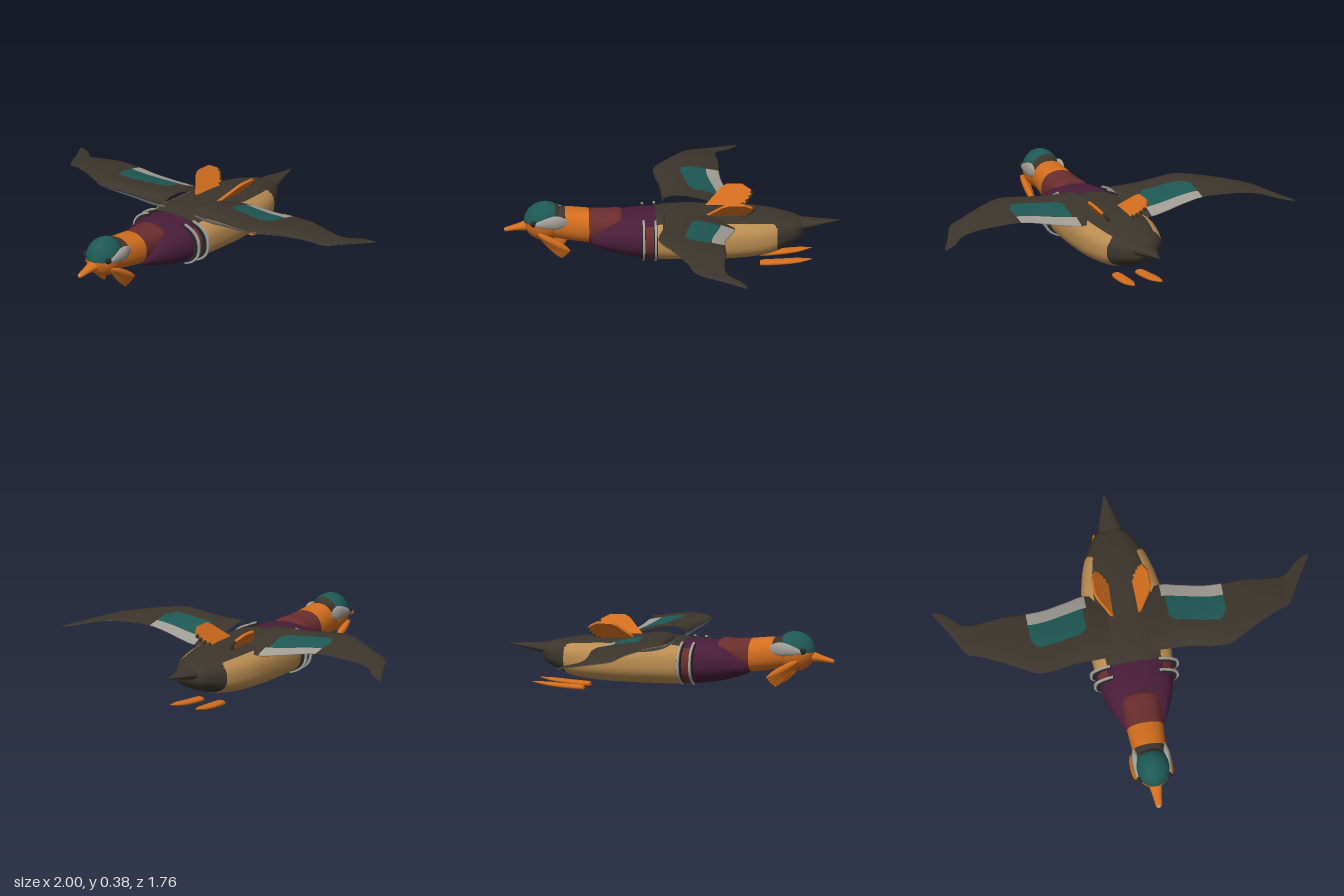
import * as THREE from 'three';
import { mergeVertices } from 'three/addons/utils/BufferGeometryUtils.js';

const mat = (name, color) => {
  const m = new THREE.MeshStandardMaterial({ color });
  m.name = name;
  return m;
};

// Smooth surface from a rule; pick(u, v) gives the material index of each cell
function grid(point, nu, nv, pick = () => 0) {
  const pos = [], cells = [];
  for (let i = 0; i <= nu; i++) for (let j = 0; j <= nv; j++) pos.push(...point(i / nu, j / nv));
  for (let i = 0; i < nu; i++) for (let j = 0; j < nv; j++) {
    const a = i * (nv + 1) + j, b = a + nv + 1;
    const k = pick((i + 0.5) / nu, (j + 0.5) / nv);
    (cells[k] ||= []).push(a, b, b + 1, a, b + 1, a + 1);
  }
  let g = new THREE.BufferGeometry();
  g.setAttribute('position', new THREE.Float32BufferAttribute(pos, 3));
  g.setIndex(cells.flat());
  let start = 0;
  cells.forEach((c, k) => { g.addGroup(start, c.length, k); start += c.length; });
  g = mergeVertices(g, 1e-5);
  g.computeVertexNormals();
  return g;
}

// Smooth interpolation through the rows of a small table
function table(rows) {
  const curves = rows[0].map((_, k) => new THREE.SplineCurve(rows.map((r, i) => new THREE.Vector2(i, r[k]))));
  return t => curves.map(c => c.getPoint(t).y);
}

const pw = (v, e) => Math.sign(v) * Math.abs(v) ** e;

// Loft along z, rows listed front to back: [z, halfWidth, bottom, top]
function loft(rows, { steps = 6, sides = 40, e = 1, pick } = {}) {
  const at = table(rows);
  return grid((u, v) => {
    const [z, w, lo, hi] = at(u), a = v * Math.PI * 2 - Math.PI / 2;
    return [w * pw(Math.cos(a), e), (lo + hi) / 2 + (hi - lo) / 2 * pw(Math.sin(a), e), z];
  }, (rows.length - 1) * steps, sides, pick && ((u, v) => pick(at(u)[0], Math.sin(v * Math.PI * 2 - Math.PI / 2))));
}

export function createModel() {
  const teal = mat('teal', 0x1e5854), orange = mat('orange', 0xd26d1e), brown = mat('dark brown', 0x3c352c);
  const tan = mat('tan', 0xba8c51), purple = mat('purple', 0x481d38), red = mat('dark red', 0x6a2d2d);
  const grey = mat('light grey', 0xa19d95), under = mat('underwing grey', 0x8c8c88), black = mat('black', 0x25272a);
  const model = new THREE.Group();
  model.name = 'flyingDuck';
  const add = (parent, name, geometry, material) => {
    const m = new THREE.Mesh(geometry, material);
    m.name = name;
    parent.add(m);
    return m;
  };

  // Body with dark back and rump over tan flanks
  add(model, 'body', loft([
    [0.09, 0.202, 0.052, 0.285], [0, 0.212, 0.05, 0.295], [-0.18, 0.216, 0.05, 0.292], [-0.35, 0.208, 0.055, 0.287],
    [-0.5, 0.175, 0.07, 0.273], [-0.6, 0.128, 0.105, 0.256], [-0.67, 0.078, 0.14, 0.236], [-0.7, 0.001, 0.185, 0.2],
  ], {
    steps: 12, sides: 100, e: 0.78,
    pick: (z, s) => (z < -0.55 + 0.04 * Math.max(0, s) ** 3 || s > 0.77 ? 0 : 1),
  }), [brown, tan]);

  // Breast, with a red strip between the side bands
  add(model, 'breast', loft([
    [0.44, 0.001, 0.145, 0.155], [0.43, 0.085, 0.122, 0.185], [0.38, 0.122, 0.1, 0.228], [0.3, 0.158, 0.078, 0.27],
    [0.2, 0.188, 0.06, 0.284], [0.09, 0.202, 0.052, 0.285],
  ], { steps: 8, e: 0.85, pick: (z, s) => (z < 0.148 && s < 0.75 ? 1 : 0) }), [purple, red]);

  // Neck in two colours, with the dark nape
  add(model, 'lowerNeck', loft([
    [0.44, 0.097, 0.123, 0.3], [0.36, 0.098, 0.145, 0.296], [0.27, 0.09, 0.18, 0.292], [0.265, 0.001, 0.22, 0.23],
  ], { e: 0.9 }), red);
  add(model, 'upperNeck', loft([
    [0.66, 0.075, 0.16, 0.31], [0.565, 0.088, 0.142, 0.312], [0.44, 0.097, 0.123, 0.3],
  ], { e: 0.9, pick: (z, s) => (z > 0.57 && s > 0.3 ? 1 : 0) }), [orange, brown]);

  // Head: teal crown, dark nape, orange face
  const headPoint = (u, v) => {
    const p = u * Math.PI, a = v * Math.PI * 2 - Math.PI / 2, r = Math.sin(p);
    return [0.093 * r * Math.cos(a), 0.24 + 0.105 * r * Math.sin(a), 0.67 + 0.11 * Math.cos(p)];
  };
  add(model, 'head', grid(headPoint, 32, 40, (u, v) => (v < 0.25 || v > 0.75 ? 0 : Math.cos(u * Math.PI) < -0.43 ? 2 : 1)),
    [orange, teal, brown]);
  add(model, 'beak', loft([
    [0.882, 0.001, 0.186, 0.196], [0.876, 0.015, 0.182, 0.203], [0.82, 0.024, 0.187, 0.222], [0.75, 0.038, 0.186, 0.25],
  ], { sides: 20 }), orange);
  add(model, 'beakTip', new THREE.SphereGeometry(0.011, 12, 8), grey).position.set(0, 0.193, 0.874);

  // Tail
  add(model, 'tail', loft([
    [-0.63, 0.066, 0.165, 0.24], [-0.7, 0.058, 0.182, 0.236], [-0.79, 0.03, 0.202, 0.23], [-0.88, 0.001, 0.222, 0.226],
  ], { sides: 20 }), brown);

  // Everything paired is built on the left and mirrored
  const side = new THREE.Group();
  side.name = 'leftSide';

  // Wing rows: [x, leading z, trailing z, height, thickness]
  const wingAt = table([
    [0.1, 0.05, -0.29, 0.283, 0.085], [0.2, 0.055, -0.322, 0.282, 0.085], [0.3, 0.06, -0.3, 0.289, 0.075],
    [0.42, 0.082, -0.27, 0.302, 0.058], [0.52, 0.082, -0.26, 0.311, 0.042], [0.65, 0.01, -0.262, 0.307, 0.03],
    [0.78, -0.06, -0.25, 0.29, 0.022], [0.86, -0.1, -0.265, 0.273, 0.016], [0.93, -0.23, -0.333, 0.259, 0.011],
    [1, -0.356, -0.37, 0.246, 0.004],
  ]);
  const wing = grid((u, v) => {
    const [x, lead, trail, y, th] = wingAt(u), top = v <= 0.5, f = top ? v * 2 : 2 - v * 2;
    const half = th / 2 * (0.04 + 2.6 * Math.sqrt(f) * (1 - f));
    return [x, y - 0.5 * th * (f - 0.35) + (top ? half : -half), lead + (trail - lead) * f];
  }, 90, 100, (u, v) => {
    const x = wingAt(u)[0], f = v * 2;
    if (v > 0.5) return 1;
    if (x < 0.2 || x > 0.52 || f < 0.38) return 0;
    if (f > 0.8) return 3;
    const corner = Math.hypot(Math.max(0, x - 0.45, 0.28 - x) / 0.065, Math.max(0, 0.54 - f) / 0.15);
    return corner < 1 ? 2 : 0;
  });
  add(side, 'wing', wing, [brown, under, teal, grey]);

  // Breast bands: grey ridges edged in black
  const band = (name, z, rx, ry, depth, material) => {
    const pts = [];
    for (let i = 0; i <= 24; i++) {
      const a = (i / 24 * 2 - 1) * 1.08;
      pts.push(new THREE.Vector2(rx * pw(Math.cos(a), 0.8), 0.172 + ry * pw(Math.sin(a), 0.8)));
    }
    const g = new THREE.ExtrudeGeometry(new THREE.Shape(pts), { depth, bevelEnabled: false });
    add(side, name, g.translate(0, 0, z), material);
  };
  for (const [z, rx] of [[0.084, 0.237], [0.146, 0.226]]) {
    band('blackBand', z, rx - 0.013, 0.118, 0.019, black);
    band('greyBand', z + 0.004, rx, 0.126, 0.011, grey);
  }

  // Upright sail feather on the back
  const sailPts = [[0.16, 0], [0.2, 0.045], [0.26, 0.115], [0.29, 0.133], [0.37, 0.132], [0.415, 0.1], [0.42, 0.075], [0.385, 0.025], [0.34, 0]];
  const sail = new THREE.ExtrudeGeometry(new THREE.Shape(sailPts.map(p => new THREE.Vector2(...p))), { depth: 0.014, bevelEnabled: false });
  sail.rotateY(Math.PI / 2).rotateZ(-0.72).translate(0.056, 0.278, 0);
  add(side, 'sailFeather', sail, orange);
  for (const [z, s] of [[-0.419, 0.082], [-0.41, 0.06], [-0.393, 0.037], [-0.37, 0.018]]) {
    const m = add(side, 'sailEdge', new THREE.SphereGeometry(0.011, 12, 8), brown);
    m.position.set(0.061 + s * Math.sin(0.72), 0.274 + s * Math.cos(0.72), z);
  }

  // Brow, eye and cheek plumes
  const brow = loft([
    [0.735, 0.001, 0.24, 0.245], [0.69, 0.014, 0.228, 0.274], [0.61, 0.018, 0.222, 0.296], [0.555, 0.001, 0.245, 0.275],
  ], { sides: 24 });
  add(side, 'brow', brow, grey).position.x = 0.084;
  add(side, 'eye', new THREE.SphereGeometry(0.017, 16, 12), black).position.set(0.076, 0.25, 0.733);
  for (let i = 0; i < 5; i++) {
    const a = 0.52 + i * 0.075, len = 0.1;
    const plume = add(side, 'cheekPlume', new THREE.SphereGeometry(1, 16, 10), orange);
    plume.scale.set(0.016, 0.019, len);
    plume.rotation.set(-a, 0, 0);
    plume.position.set(0.097 - 0.006 * i, 0.202 - len * Math.sin(a), 0.712 - len * Math.cos(a));
  }

  // Foot trailing behind
  const foot = loft([
    [-0.464, 0.001, 0.012, 0.016], [-0.465, 0.026, 0, 0.027], [-0.56, 0.033, 0.006, 0.032],
    [-0.66, 0.028, 0.018, 0.038], [-0.735, 0.001, 0.036, 0.039],
  ], { sides: 12, steps: 4 });
  const footMesh = add(side, 'foot', foot, orange);
  footMesh.position.x = 0.04;
  footMesh.rotation.y = -0.055;

  const mirrored = side.clone();
  mirrored.name = 'rightSide';
  mirrored.scale.x = -1;
  model.add(side, mirrored);
  return model;
}
